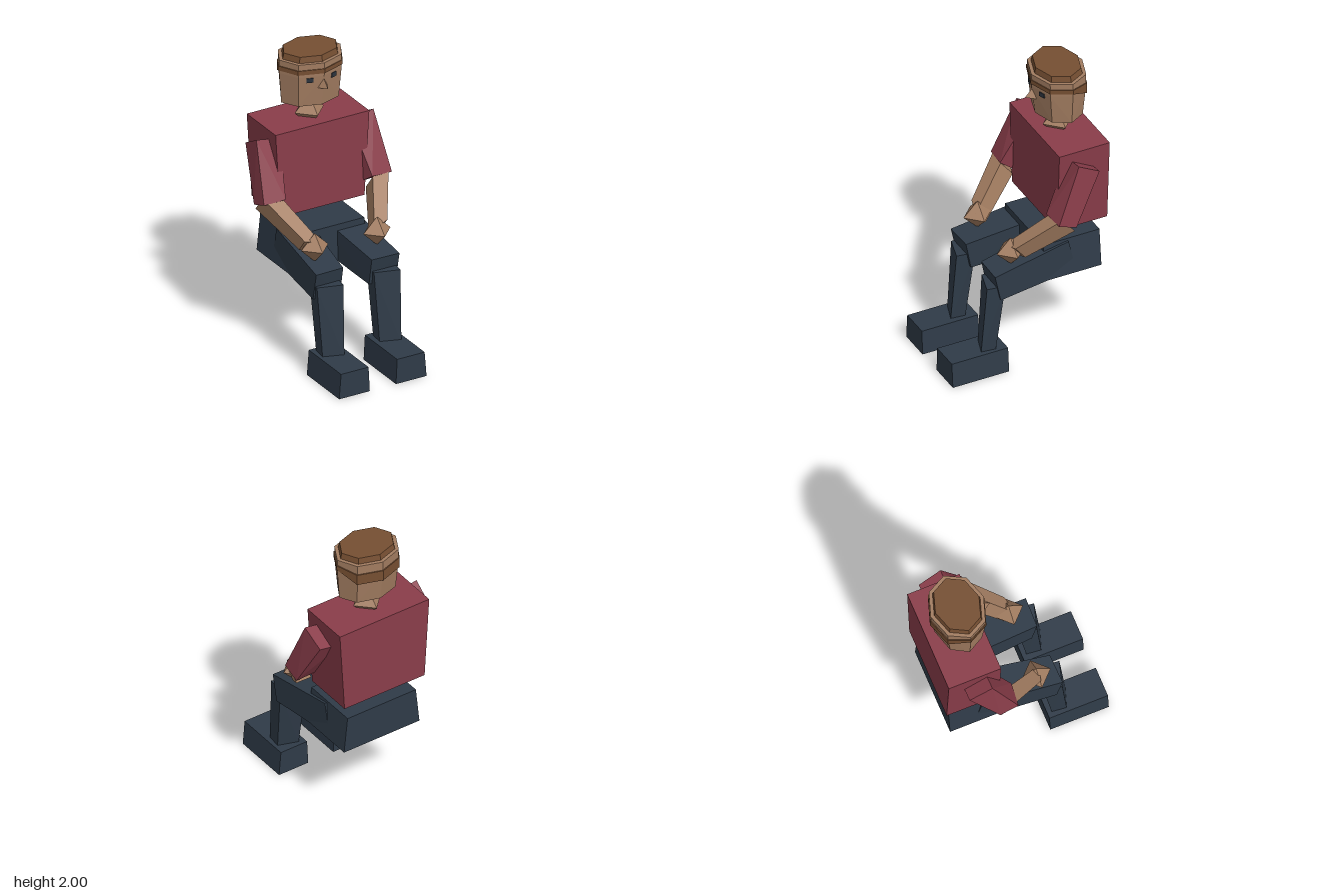
import * as THREE from 'three';
import { ConvexGeometry } from 'three/addons/geometries/ConvexGeometry.js';

const HEAD_Z = -0.348;

export function createModel() {
  const model = new THREE.Group();
  model.name = 'seatedFigure';

  const material = (name, color) => {
    const m = new THREE.MeshStandardMaterial({ color, flatShading: true });
    m.name = name;
    return m;
  };
  const shirt = material('shirt red', 0x8a3d4a);
  const skin = material('skin tan', 0xa37d61);
  const hair = material('hair brown', 0x764f32);
  const trousers = material('trouser navy', 0x2f3b48);
  const eyeDark = material('eye dark', 0x2b333d);

  const add = (name, geometry, mat, parent = model) => {
    const mesh = new THREE.Mesh(geometry, mat);
    mesh.name = name;
    parent.add(mesh);
    return mesh;
  };

  // Faceted solid around a few corners; side = -1 mirrors it across x
  const solid = (corners, side = 1) =>
    new ConvexGeometry(corners.map(([x, y, z]) => new THREE.Vector3(x * side, y, z)));

  // Box whose bottom and top rectangles differ: [x0, x1, y, z0, z1]
  const rect = ([x0, x1, y, z0, z1]) => [[x0, y, z0], [x1, y, z0], [x1, y, z1], [x0, y, z1]];
  const block = (bottom, top, side) => solid([...rect(bottom), ...rect(top)], side);

  // Eight-sided head ring
  const ring = (y, rx, rz) => Array.from({ length: 8 }, (_, i) => {
    const a = (i * Math.PI) / 4;
    return [Math.sin(a) * rx, y, HEAD_Z + Math.cos(a) * rz];
  });

  // Torso and pelvis
  add('torso', block([-0.305, 0.305, 0.95, -0.545, -0.192], [-0.34, 0.34, 1.53, -0.545, -0.192]), shirt);
  add('pelvis', block([-0.287, 0.287, 0.58, -0.514, -0.12], [-0.26, 0.26, 0.835, -0.514, -0.12]), trousers);

  // Neck and head
  add('neck', new THREE.OctahedronGeometry(0.105), skin).position.set(0, 1.555, -0.355);
  const head = new THREE.Group();
  head.name = 'head';
  model.add(head);
  add('skull', solid([...ring(1.66, 0.207, 0.152), ...ring(1.87, 0.222, 0.177), ...ring(1.96, 0.222, 0.179)]), skin, head);
  add('hairTop', solid([...ring(1.95, 0.2, 0.157), ...ring(2.0, 0.188, 0.147)]), hair, head);

  // Hair band, dropping lower around the back
  const band = new THREE.CylinderGeometry(1, 1, 1, 8);
  const p = band.attributes.position;
  for (let i = 0; i < p.count; i++) {
    const back = THREE.MathUtils.clamp(-p.getZ(i) / 0.7, 0, 1);
    const y = p.getY(i) > 0 ? 1.92 - 0.025 * back : 1.89 - 0.07 * back;
    p.setXYZ(i, p.getX(i) * 0.229, y, HEAD_Z + p.getZ(i) * 0.184);
  }
  band.computeVertexNormals();
  add('hairBand', band, hair, head);

  // Nose and eyes
  add('nose', solid([[0, 1.85, -0.175], [0, 1.797, -0.125], [-0.036, 1.785, -0.19], [0.036, 1.785, -0.19]]), skin, head);
  for (const side of [1, -1]) {
    const eye = add(side > 0 ? 'leftEye' : 'rightEye', new THREE.BoxGeometry(0.043, 0.03, 0.009), eyeDark, head);
    eye.position.set(side * 0.087, 1.846, -0.2);
    eye.rotation.y = side * 0.32;
  }

  for (const side of [1, -1]) {
    const label = side > 0 ? 'left' : 'right';

    // Arm
    add(label + 'UpperArm', solid([
      [0.425, 1.48, -0.285], [0.255, 1.45, -0.285], [0.415, 1.395, -0.435], [0.25, 1.365, -0.435],
      [0.464, 1.1, -0.125], [0.314, 1.11, -0.112], [0.464, 1.055, -0.248], [0.29, 1.035, -0.22],
    ], side), shirt);
    const section = (cx, cy, cz, h) => [[1, 1], [1, -1], [-1, -1], [-1, 1]].map(([u, v]) =>
      [cx + u * h, cy + u * h * 0.25 + v * h * 0.78, cz - u * h * 0.25 + v * h * 0.62]);
    add(label + 'Forearm', solid([...section(0.39, 1.065, -0.18, 0.068), ...section(0.245, 0.845, 0.075, 0.055)], side), skin);
    add(label + 'Hand', new THREE.OctahedronGeometry(0.098), skin).position.set(side * 0.226, 0.842, 0.092);

    // Leg
    add(label + 'Thigh', solid([
      [0.276, 0.82, -0.29], [0.047, 0.82, -0.29], [0.276, 0.6, -0.34], [0.047, 0.6, -0.34],
      [0.302, 0.73, 0.24], [0.104, 0.73, 0.235], [0.302, 0.545, 0.2], [0.104, 0.545, 0.2],
    ], side), trousers);
    // Both shins turn the same way, so they are shifted rather than mirrored
    const cx = side * 0.207;
    add(label + 'Shin', solid([
      [cx - 0.09, 0.64, 0.24], [cx + 0.074, 0.64, 0.287], [cx + 0.09, 0.64, 0.165], [cx - 0.074, 0.64, 0.12],
      [cx - 0.07, 0.15, 0.278], [cx + 0.06, 0.15, 0.322], [cx + 0.07, 0.15, 0.225], [cx - 0.06, 0.15, 0.182],
    ]), trousers);
    add(label + 'Shoe', block([0.095, 0.317, 0, 0.15, 0.545], [0.104, 0.303, 0.17, 0.15, 0.545], side), trousers);
  }
  return model;
}
